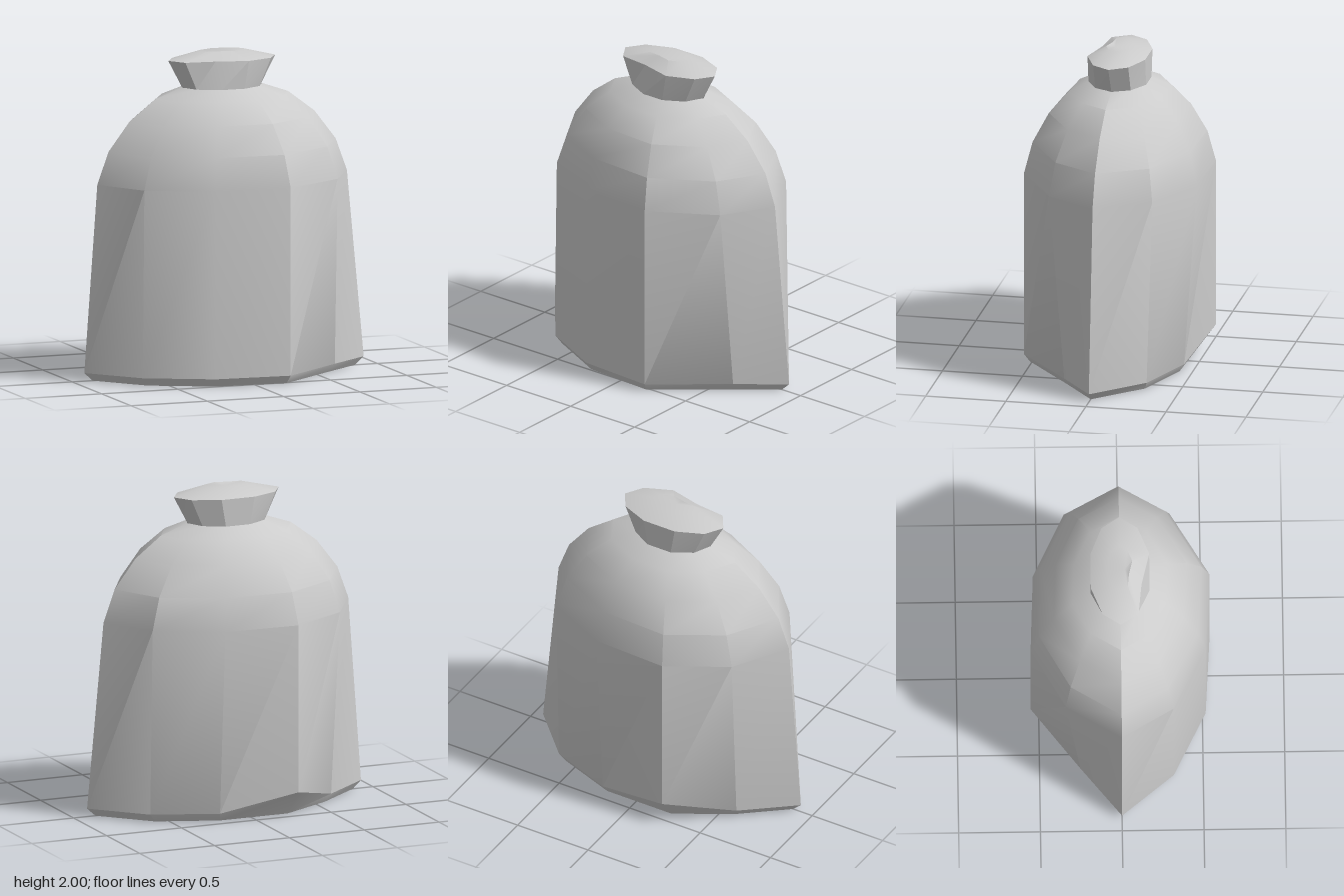
import * as THREE from 'three';
import { toCreasedNormals } from 'three/addons/utils/BufferGeometryUtils.js';

// Ten-sided plan outlines [x, z], starting at the +x ridge and going round by the front
const shoulder = [[0.8, 0], [0.62, 0.31], [0.22, 0.55], [-0.26, 0.52], [-0.65, 0.32],
  [-0.835, 0], [-0.63, -0.34], [-0.26, -0.55], [0.22, -0.53], [0.62, -0.335]];
const hem = [[0.91, 0], [0.64, 0.21], [0.22, 0.55], [-0.26, 0.52], [-0.66, 0.32],
  [-0.92, 0], [-0.61, -0.25], [-0.26, -0.55], [0.22, -0.45], [0.62, -0.3]];
const collar = [[0.33, 0], [0.26, 0.11], [0.09, 0.18], [-0.11, 0.13], [-0.3, 0.11],
  [-0.37, 0], [-0.3, -0.11], [-0.13, -0.18], [0.09, -0.18], [0.26, -0.11]];

const CENTRE = -0.02;
const ring = (plan, y, s = 1) => plan.map(([x, z]) => [CENTRE + (x - CENTRE) * s, y, z * s]);

// Skins a stack of rings, listed from the bottom up, with optional end points
function loft(rings, bottom, top, crease) {
  const n = rings[0].length;
  const points = rings.flat();
  const index = [];
  for (let r = 0; r < rings.length - 1; r++) {
    for (let i = 0; i < n; i++) {
      const a = r * n + i, b = r * n + (i + 1) % n;
      index.push(a, a + n, b, b, a + n, b + n);
    }
  }
  const last = (rings.length - 1) * n;
  if (bottom) {
    const c = points.push(bottom) - 1;
    for (let i = 0; i < n; i++) index.push(c, i, (i + 1) % n);
  }
  if (top) {
    const c = points.push(top) - 1;
    for (let i = 0; i < n; i++) index.push(c, last + (i + 1) % n, last + i);
  }
  const g = new THREE.BufferGeometry();
  g.setAttribute('position', new THREE.Float32BufferAttribute(points.flat(), 3));
  g.setIndex(index);
  return toCreasedNormals(g, THREE.MathUtils.degToRad(crease));
}

export function createModel() {
  const group = new THREE.Group();
  group.name = 'sack';
  const material = new THREE.MeshStandardMaterial({ color: 0xcccccc, side: THREE.DoubleSide });
  const add = (name, geometry) => {
    const mesh = new THREE.Mesh(geometry, material);
    mesh.name = name;
    group.add(mesh);
  };

  // Body: bevelled base, flared sides and a domed top; one back corner is tucked up
  const base = ring(hem, 0, 0.94);
  const rim = ring(hem, 0.05);
  base[7][2] = base[8][2] = -0.42;
  rim[7][1] = 0.16;
  const dome = [[1.21, 1], [1.41, 0.91], [1.59, 0.74], [1.72, 0.53], [1.78, 0.32]];
  add('body', loft([base, rim, ...dome.map(([y, s]) => ring(shoulder, y, s))],
    [0, 0, 0], null, 32));

  // Gathered collar flaring out from the neck, with a notch folded into its front
  const neck = ring(collar, 1.78).map(([x, y, z]) => [CENTRE + (x - CENTRE) * 0.74, y, z]);
  neck[3][2] = 0.18;
  add('collar', loft([neck, ring(collar, 1.95)], null, null, 15));

  // Puckered closure on top of the collar
  add('closure', loft([ring(collar, 1.95), ring(collar, 2, 0.42)], null, [-0.02, 1.985, 0.03], 40));

  return group;
}
